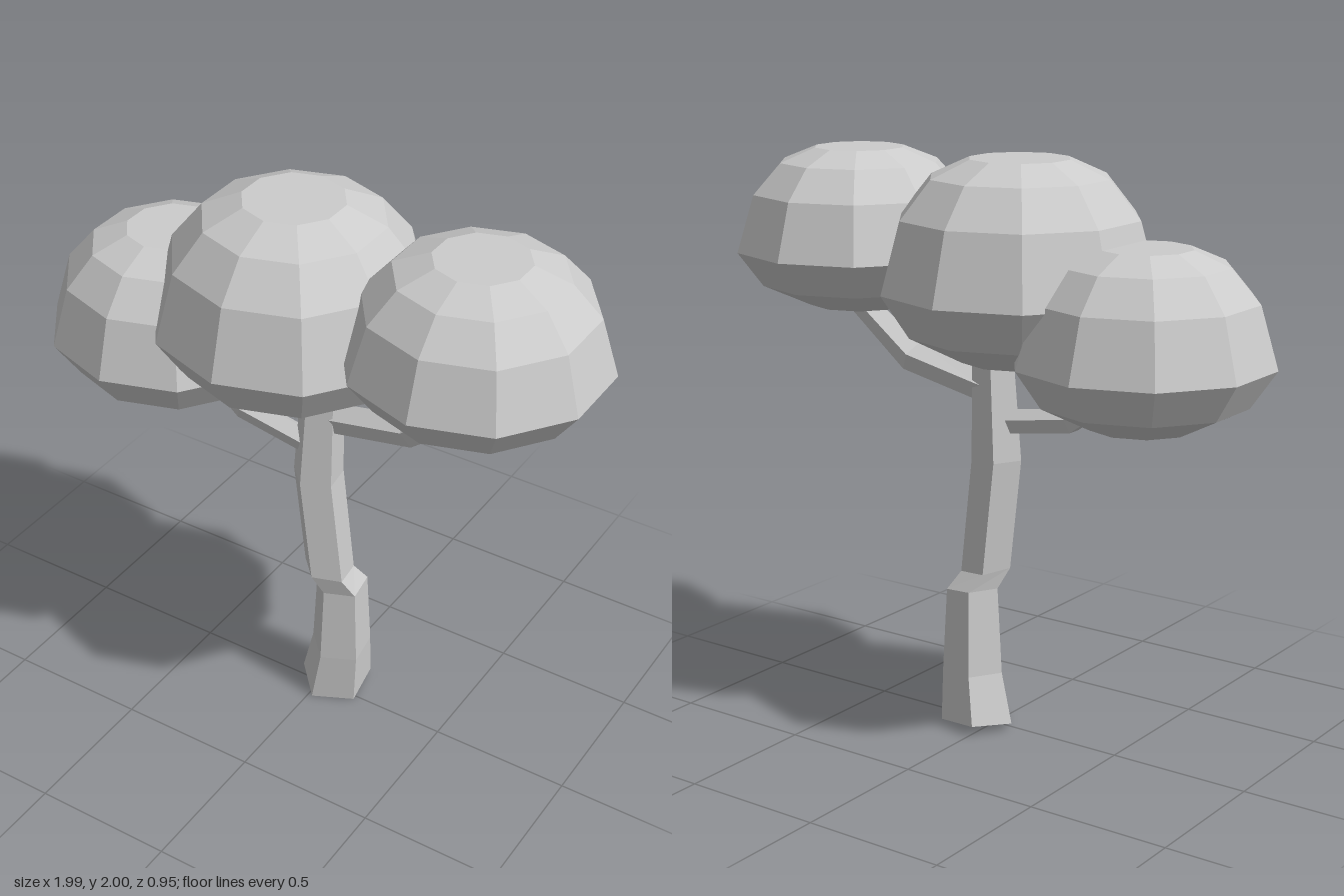
import * as THREE from 'three';

const material = new THREE.MeshStandardMaterial({ color: 0xcccccc, flatShading: true, side: THREE.DoubleSide });

function addMesh(group, name, geometry) {
  const mesh = new THREE.Mesh(geometry, material);
  mesh.name = name;
  group.add(mesh);
  return mesh;
}

// Open five-sided limb through rings of [centre, radius, ring normal];
// the first corner of each ring points along 'hint', turned by 'twist'.
function limb(rings, hint, twist = 0) {
  const sides = 5;
  const positions = [];
  const index = [];
  for (const [centre, radius, normal] of rings) {
    const c = new THREE.Vector3(...centre);
    const d = new THREE.Vector3(...normal).normalize();
    const u = hint.clone().addScaledVector(d, -hint.dot(d)).normalize();
    const v = d.clone().cross(u);
    for (let i = 0; i < sides; i++) {
      const a = twist + (i / sides) * Math.PI * 2;
      const p = c.clone().addScaledVector(u, radius * Math.cos(a)).addScaledVector(v, radius * Math.sin(a));
      positions.push(p.x, p.y, p.z);
    }
  }
  for (let r = 0; r < rings.length - 1; r++) {
    for (let i = 0; i < sides; i++) {
      const a = r * sides + i;
      const b = r * sides + ((i + 1) % sides);
      index.push(a, b, b + sides, a, b + sides, a + sides);
    }
  }
  const geometry = new THREE.BufferGeometry();
  geometry.setAttribute('position', new THREE.Float32BufferAttribute(positions, 3));
  geometry.setIndex(index);
  geometry.computeVertexNormals();
  return geometry;
}

// Ten-sided foliage dome: flat underside, short undercut, tall rounded top
function crownGeometry(radius, bottom, waist, top) {
  const low = waist - bottom;
  const high = top - waist;
  const profile = [
    [0, -low], [0.42, -low], [0.8, -low * 0.61], [1, 0],
    [0.86, high * 0.56], [0.64, high * 0.86], [0.36, high], [0, high],
  ].map(([r, y]) => new THREE.Vector2(r * radius, y));
  return new THREE.LatheGeometry(profile, 10);
}

export function createModel() {
  const tree = new THREE.Group();
  tree.name = 'tree';
  const forward = new THREE.Vector3(0, 0, 1);
  const up = new THREE.Vector3(0, 1, 0);

  // Crooked trunk, open at the foot
  addMesh(tree, 'trunk', limb([
    [[0.04, 0.018, -0.043], 0.131, [0.07, 1, 0.15]],
    [[0.065, 0.2, -0.035], 0.11, [0.03, 1, 0.05]],
    [[0.07, 0.5, -0.029], 0.094, [0.1, 1, 0.06]],
    [[0.038, 0.57, 0.006], 0.091, [0.1, 1, -0.06]],
    [[-0.003, 0.97, 0.013], 0.09, [0, 1, 0]],
    [[0.012, 1.38, 0.008], 0.073, [0, 1, 0]],
  ], forward, -Math.PI / 18));

  // Branches reaching out to the side crowns
  addMesh(tree, 'leftBranch', limb([
    [[0.03, 1.215, 0], 0.055, [1, 0.15, 0]],
    [[0.35, 1.282, 0.005], 0.058, [1, 0.5, 0]],
    [[0.63, 1.49, 0.005], 0.044, [1, 0.95, 0]],
  ], up));
  addMesh(tree, 'rightBranch', limb([
    [[-0.045, 1.1, 0.02], 0.044, [-1, 0.18, 0]],
    [[-0.3, 1.14, 0.015], 0.044, [-1, 0.35, 0]],
    [[-0.48, 1.26, 0], 0.036, [-1, 0.6, 0]],
  ], up));

  // Foliage: [name, x, radius, bottom, waist, top]
  const crowns = [
    ['rightCrown', -0.585, 0.435, 1.17, 1.38, 1.75],
    ['middleCrown', -0.1, 0.477, 1.33, 1.57, 2.0],
    ['leftCrown', 0.575, 0.437, 1.45, 1.645, 1.995],
  ];
  for (const [name, x, radius, bottom, waist, top] of crowns) {
    addMesh(tree, name, crownGeometry(radius, bottom, waist, top)).position.set(x, waist, 0);
  }
  return tree;
}
